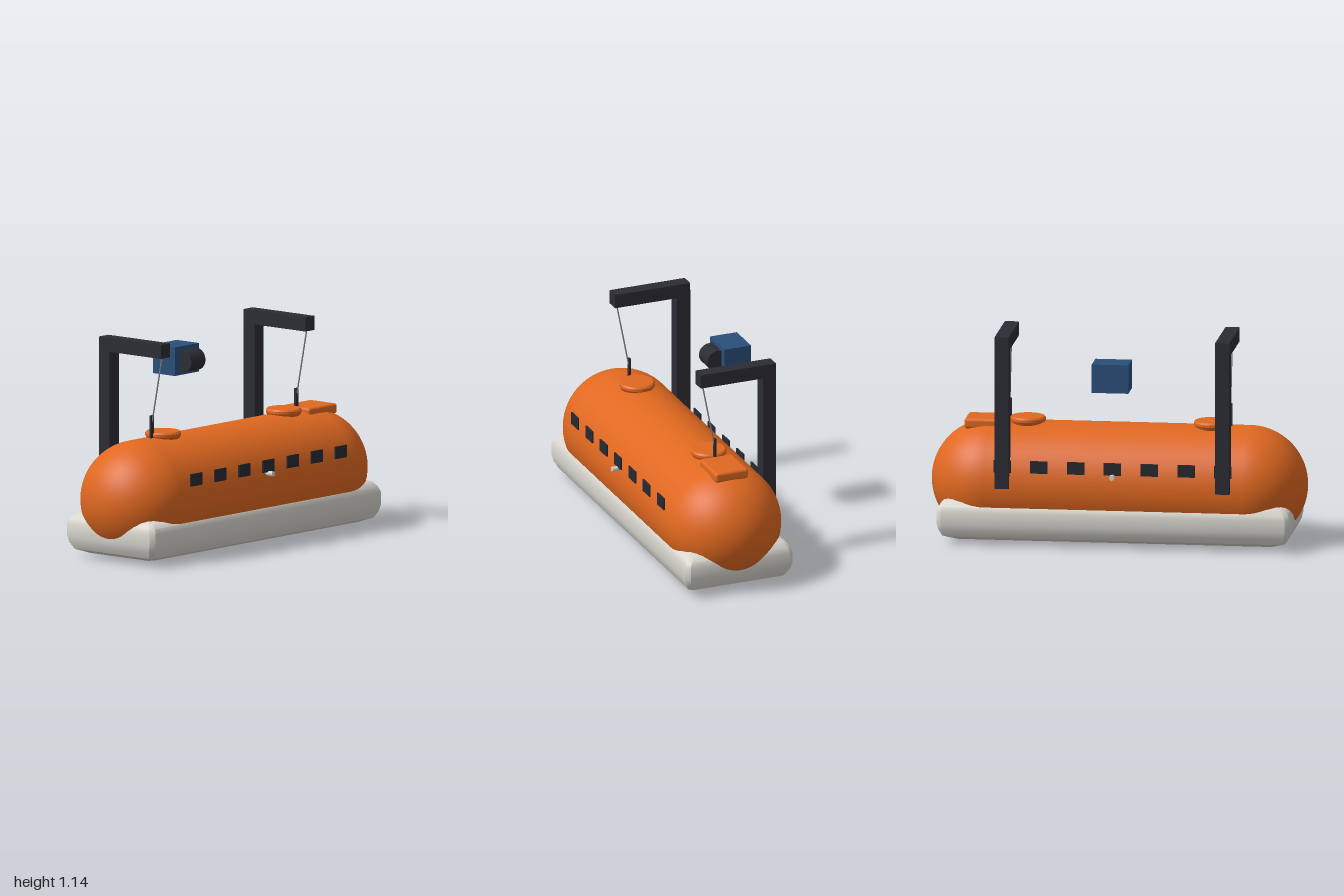
import * as THREE from 'three';
import { toCreasedNormals } from 'three/addons/utils/BufferGeometryUtils.js';
import { RoundedBoxGeometry } from 'three/addons/geometries/RoundedBoxGeometry.js';

const mat = (name, color) => Object.assign(new THREE.MeshStandardMaterial({ color }), { name });

const CZ = 0.036; // hull centre line in z
const R = 0.3125; // hull radius

// Chamfered rectangle outline at a given inset, as [x, z] corners
function ringAt(inset) {
  const hx = 0.94 - inset, hz = 0.307 - inset, c = 0.023;
  return [
    [hx, hz - c], [hx - c, hz], [-hx + c, hz], [-hx, hz - c],
    [-hx, -hz + c], [-hx + c, -hz], [hx - c, -hz], [hx, -hz + c],
  ];
}

// Fender body: stacked outlines with rounded upper and lower edges
function fenderGeometry() {
  const profile = [
    [0.085, 0.022], [0.027, 0.045], [0.008, 0.08], [0, 0.115],
    [0, 0.18], [0.01, 0.207], [0.03, 0.23], [0.07, 0.246],
  ];
  const pos = [], idx = [], n = 8;
  for (const [inset, y] of profile) for (const [x, z] of ringAt(inset)) pos.push(x, y, z);
  for (let i = 0; i < profile.length - 1; i++) {
    for (let j = 0; j < n; j++) {
      const a = i * n + j, b = i * n + (j + 1) % n;
      idx.push(a, a + n, b, b, a + n, b + n);
    }
  }
  const top = (profile.length - 1) * n;
  for (let j = 1; j < n - 1; j++) {
    idx.push(0, j, j + 1);
    idx.push(top, top + j + 1, top + j);
  }
  const g = new THREE.BufferGeometry();
  g.setAttribute('position', new THREE.Float32BufferAttribute(pos, 3));
  g.setIndex(idx);
  return toCreasedNormals(g, 0.6);
}

export function createModel() {
  const model = new THREE.Group();
  model.name = 'lifeboat';
  const orange = mat('hull orange', 0xe06820);
  const grey = mat('fender grey', 0xd8d6ce);
  const dark = mat('davit charcoal', 0x2c2c35);
  const glass = mat('window dark', 0x262a32);
  const blue = mat('winch blue', 0x2b4f7a);
  const steel = mat('cable steel', 0x85878a);

  const add = (name, geo, material, x = 0, y = 0, z = 0) => {
    const m = new THREE.Mesh(geo, material);
    m.name = name;
    m.position.set(x, y, z);
    model.add(m);
    return m;
  };

  // Hull and fender
  add('hull', new THREE.CapsuleGeometry(R, 2 - 2 * R, 20, 56).rotateZ(Math.PI / 2), orange, 0, R, CZ);
  add('fender', fenderGeometry(), grey, 0, 0, CZ);

  // Round roof hatches
  const hatchProfile = [[0, 0.6], [0.08, 0.6], [0.088, 0.618], [0.095, 0.63], [0.095, 0.643], [0.087, 0.652], [0, 0.652]];
  const hatch = toCreasedNormals(
    new THREE.LatheGeometry(hatchProfile.map(([x, y]) => new THREE.Vector2(x, y)), 40), 0.5);
  for (const s of [-1, 1]) add('hatch', hatch, orange, s * 0.49, 0, CZ - 0.004);

  // Raised helm cover
  add('helmCover', new RoundedBoxGeometry(0.23, 0.055, 0.19, 3, 0.015), orange, 0.703, 0.618, CZ - 0.004);

  // Windows and side fittings on both flanks
  for (const s of [-1, 1]) {
    for (let i = -3; i <= 3; i++) {
      add('window', new THREE.BoxGeometry(0.092, 0.066, 0.008), glass, i * 0.196, 0.436, CZ + s * 0.309);
    }
    add('sideFitting', new THREE.CylinderGeometry(0.014, 0.014, 0.06, 8).rotateX(Math.PI / 2),
      grey, 0, 0.395, CZ + s * 0.314);
  }

  // Davits with falls and hooks
  for (const s of [-1, 1]) {
    const x = s * 0.588;
    add('davitPost', new THREE.BoxGeometry(0.075, 0.78, 0.075), dark, x, 0.71, -0.261);
    add('davitArm', new THREE.BoxGeometry(0.075, 0.075, 0.43), dark, x, 1.1, -0.083);
    const fall = new THREE.LineCurve3(new THREE.Vector3(x, 1.07, 0.109), new THREE.Vector3(x, 0.7, 0.037));
    add('fallCable', new THREE.TubeGeometry(fall, 1, 0.004, 8), steel);
    add('liftingHook', new THREE.BoxGeometry(0.022, 0.145, 0.012), dark, x, 0.673, CZ);
  }

  // Winch between the davits
  add('winchHousing', new THREE.BoxGeometry(0.195, 0.153, 0.153), blue, 0, 0.944, -0.299);
  add('winchDrum', new THREE.CylinderGeometry(0.058, 0.058, 0.115, 32).rotateZ(Math.PI / 2), dark, 0, 0.944, -0.2);

  return model;
}
